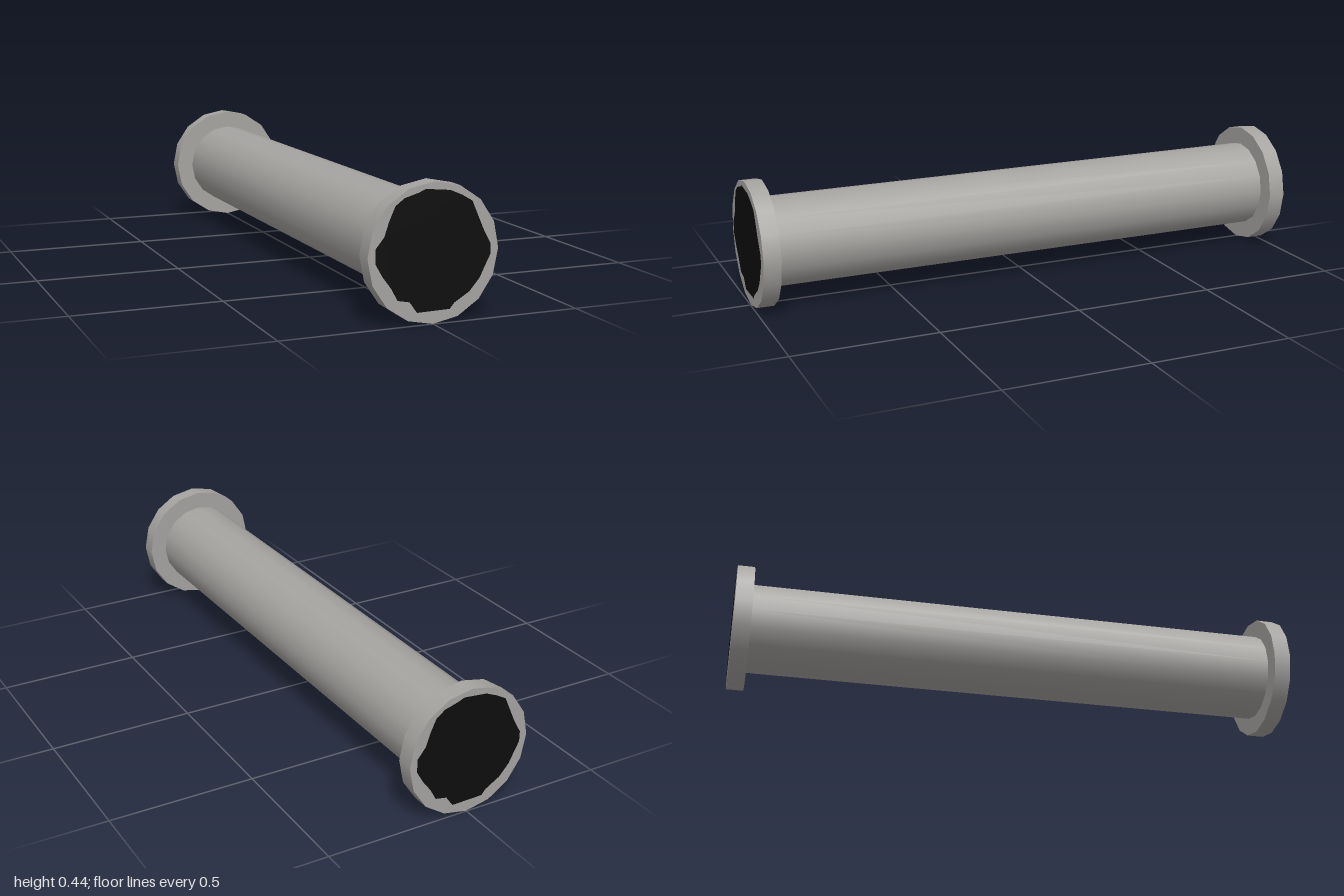
import * as THREE from 'three';

export function createModel() {
  const model = new THREE.Group();
  model.name = 'flangedPipe';

  const grey = new THREE.MeshStandardMaterial({ color: 0xa6a4a1 });
  grey.name = 'concreteGrey';
  const black = new THREE.MeshStandardMaterial({ color: 0x0d0d0d });
  black.name = 'holeBlack';

  const SIDES = 16, AXIS_Y = 0.218;

  // Cylinder lying along z, with a vertex straight up
  function zCylinder(name, radius, length, z, open) {
    const geometry = new THREE.CylinderGeometry(radius, radius, length, SIDES, 1, open);
    geometry.rotateX(Math.PI / 2);
    const mesh = new THREE.Mesh(geometry, grey);
    mesh.name = name;
    mesh.position.set(0, AXIS_Y, z);
    model.add(mesh);
  }

  // Ragged dark opening painted on each end face
  const outline = [
    [-0.03, 0.415], [0.05, 0.407], [0.09, 0.39], [0.125, 0.37], [0.145, 0.325],
    [0.165, 0.28], [0.19, 0.235], [0.19, 0.2], [0.172, 0.165], [0.155, 0.13],
    [0.12, 0.09], [0.07, 0.06], [0.055, 0.042], [-0.055, 0.04], [-0.08, 0.075],
    [-0.12, 0.083], [-0.14, 0.12], [-0.17, 0.16], [-0.193, 0.2], [-0.193, 0.245],
    [-0.165, 0.28], [-0.15, 0.325], [-0.13, 0.37], [-0.1, 0.392], [-0.055, 0.405],
  ].map(([x, y]) => new THREE.Vector2(x, y - AXIS_Y));
  const opening = new THREE.ShapeGeometry(new THREE.Shape(outline));

  zCylinder('pipe', 0.155, 1.9, 0, true);

  for (const end of [1, -1]) {
    const side = end > 0 ? 'front' : 'back';
    zCylinder(side + 'Flange', 0.218, 0.06, end * 0.968, false);

    const hole = new THREE.Mesh(opening, black);
    hole.name = side + 'Opening';
    hole.position.set(0, AXIS_Y, end);
    hole.rotation.y = end > 0 ? 0 : Math.PI;
    model.add(hole);
  }
  return model;
}
